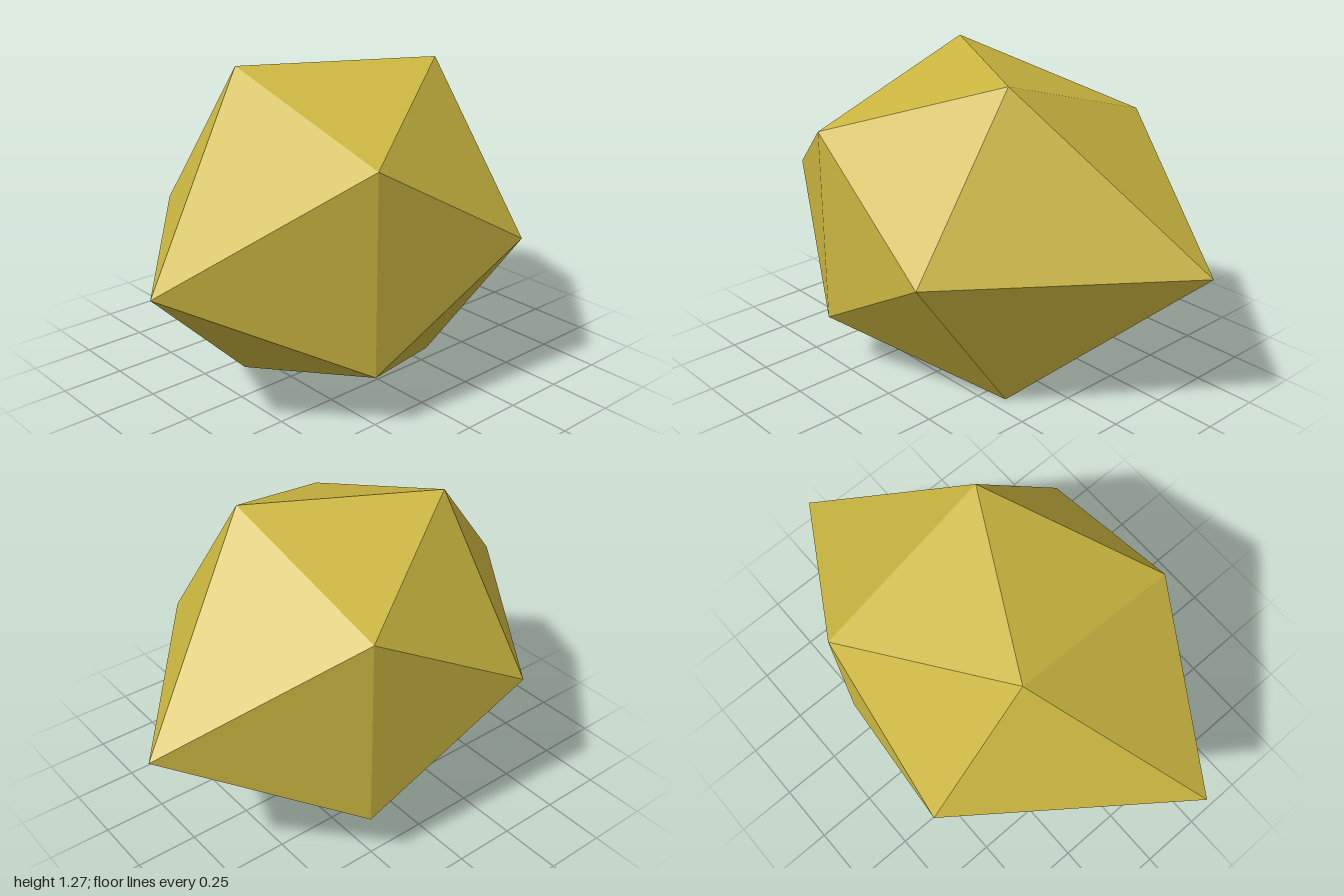
import * as THREE from 'three';
import { ConvexGeometry } from 'three/addons/geometries/ConvexGeometry.js';

const MID = 0.634; // height of the widest belt

// Half of the corners as [x, height above or below the belt, z];
// a half turn about the vertical axis gives the other half.
const CORNERS = [
  [0.343, 0.634, 0.188],   // top and bottom ridges
  [-0.304, 0.392, 0.558],  // front and back edges
  [0.372, 0, 0.645],       // blunt belt corners
  [1, 0, -0.19],           // pointed ends
];

export function createModel() {
  const gold = new THREE.MeshStandardMaterial({ color: 0xcbb640, flatShading: true });
  gold.name = 'ochre gold';

  // Mirror each corner above and below the belt, then half-turn it
  const points = [];
  for (const [x, h, z] of CORNERS) {
    for (const y of h ? [MID + h, MID - h] : [MID]) {
      points.push(new THREE.Vector3(x, y, z), new THREE.Vector3(-x, y, -z));
    }
  }

  // Twenty-faced stretched nugget
  const nugget = new THREE.Mesh(new ConvexGeometry(points), gold);
  nugget.name = 'nugget';

  const model = new THREE.Group();
  model.name = 'facetedNugget';
  model.add(nugget);
  return model;
}
